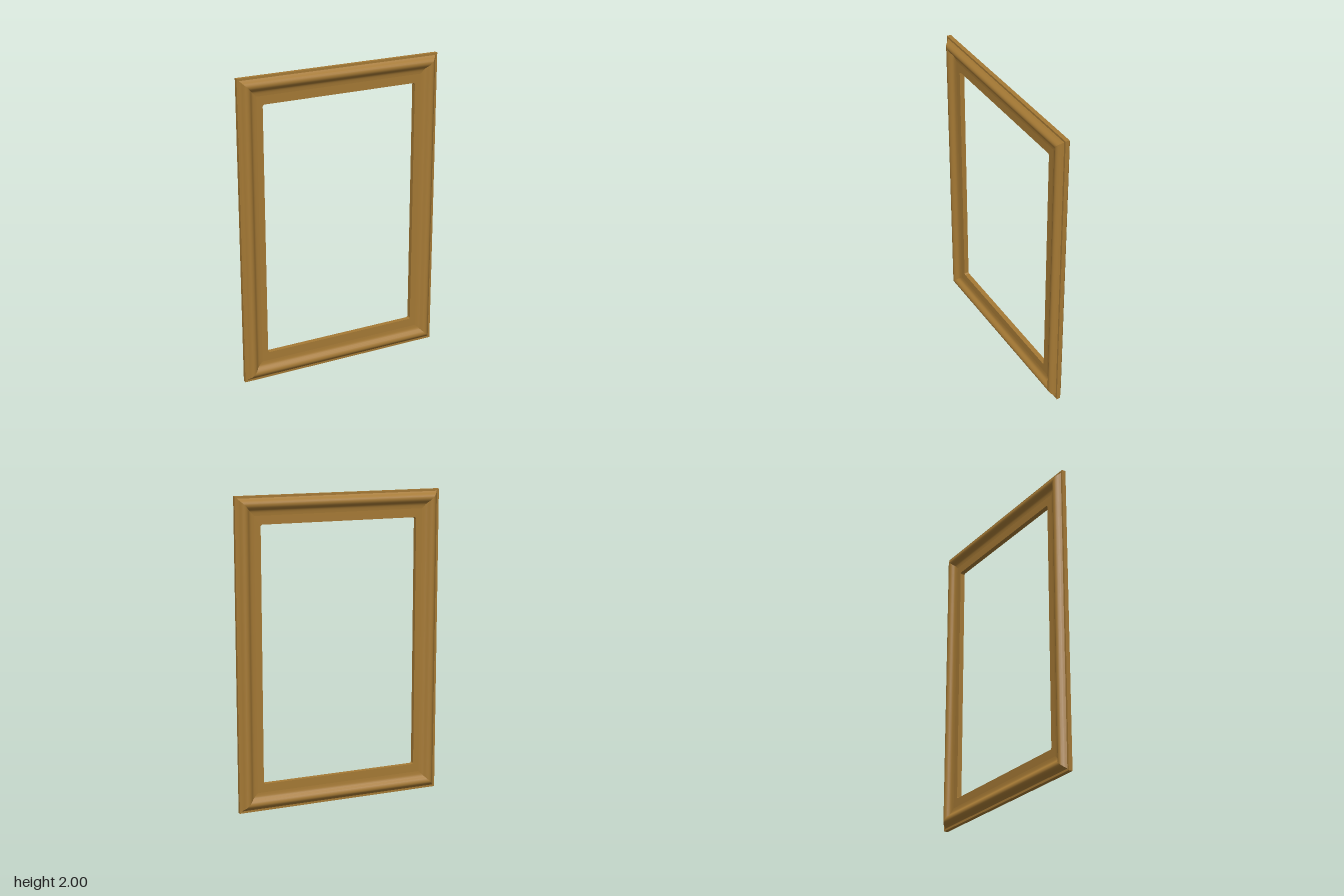
import * as THREE from 'three';
import { toCreasedNormals } from 'three/addons/utils/BufferGeometryUtils.js';

const HALF_W = 0.693, HALF_H = 1; // outer half size
const OPEN_W = 0.53, OPEN_H = 0.823; // opening half size

// moulding section: [inset from the outer edge, half depth]
const PROFILE = [
  [0, 0.013], [0.014, 0.013], [0.02, 0.018], [0.027, 0.028], [0.035, 0.038], [0.043, 0.044],
  [0.052, 0.046], [0.061, 0.045], [0.07, 0.041], [0.078, 0.034], [0.085, 0.026],
  [0.092, 0.021], [0.1, 0.0185], [0.11, 0.017], [0.122, 0.016],
];

// one mitred bar running along x, its outer edge at y = outer
function mouldingBar(halfLength, outer) {
  const section = [
    ...PROFILE.map(([u, z]) => [u, z]),
    ...PROFILE.map(([u, z]) => [u, -z]).reverse(),
  ];
  const positions = [], index = [];
  section.forEach(([u, z]) => {
    positions.push(-halfLength + u, outer - u, z, halfLength - u, outer - u, z);
  });
  const n = section.length;
  for (let i = 0; i < n; i++) {
    const a = 2 * i, b = 2 * ((i + 1) % n);
    index.push(a, b, b + 1, a, b + 1, a + 1);
  }
  const geometry = new THREE.BufferGeometry();
  geometry.setAttribute('position', new THREE.Float32BufferAttribute(positions, 3));
  geometry.setIndex(index);
  return toCreasedNormals(geometry, 0.6);
}

// flat band around the opening, with slightly rounded opening corners
function innerBand() {
  const w = HALF_W - 0.12, h = HALF_H - 0.12, r = 0.012, depth = 0.032;
  const shape = new THREE.Shape([
    new THREE.Vector2(-w, -h), new THREE.Vector2(w, -h),
    new THREE.Vector2(w, h), new THREE.Vector2(-w, h),
  ]);
  const hole = new THREE.Path();
  const cx = OPEN_W - r, cy = OPEN_H - r;
  [[cx, cy], [-cx, cy], [-cx, -cy], [cx, -cy]].forEach(([x, y], i) => {
    hole.absarc(x, y, r, i * Math.PI / 2, (i + 1) * Math.PI / 2, false);
  });
  hole.closePath();
  shape.holes.push(hole);
  return new THREE.ExtrudeGeometry(shape, { depth, bevelEnabled: false, curveSegments: 5 })
    .translate(0, 0, -depth / 2);
}

export function createModel() {
  const group = new THREE.Group();
  group.name = 'pictureFrame';
  const wood = new THREE.MeshStandardMaterial({ color: 0xa67a35 });
  wood.name = 'goldenWood';

  const add = (name, geometry, turn = 0) => {
    const mesh = new THREE.Mesh(geometry, wood);
    mesh.name = name;
    mesh.rotation.z = turn;
    mesh.position.y = HALF_H;
    group.add(mesh);
  };

  // four mitred mouldings
  const rail = mouldingBar(HALF_W, HALF_H);
  const stile = mouldingBar(HALF_H, HALF_W);
  add('topRail', rail);
  add('bottomRail', rail, Math.PI);
  add('rightStile', stile, Math.PI / 2);
  add('leftStile', stile, -Math.PI / 2);

  add('innerBand', innerBand());
  return group;
}
